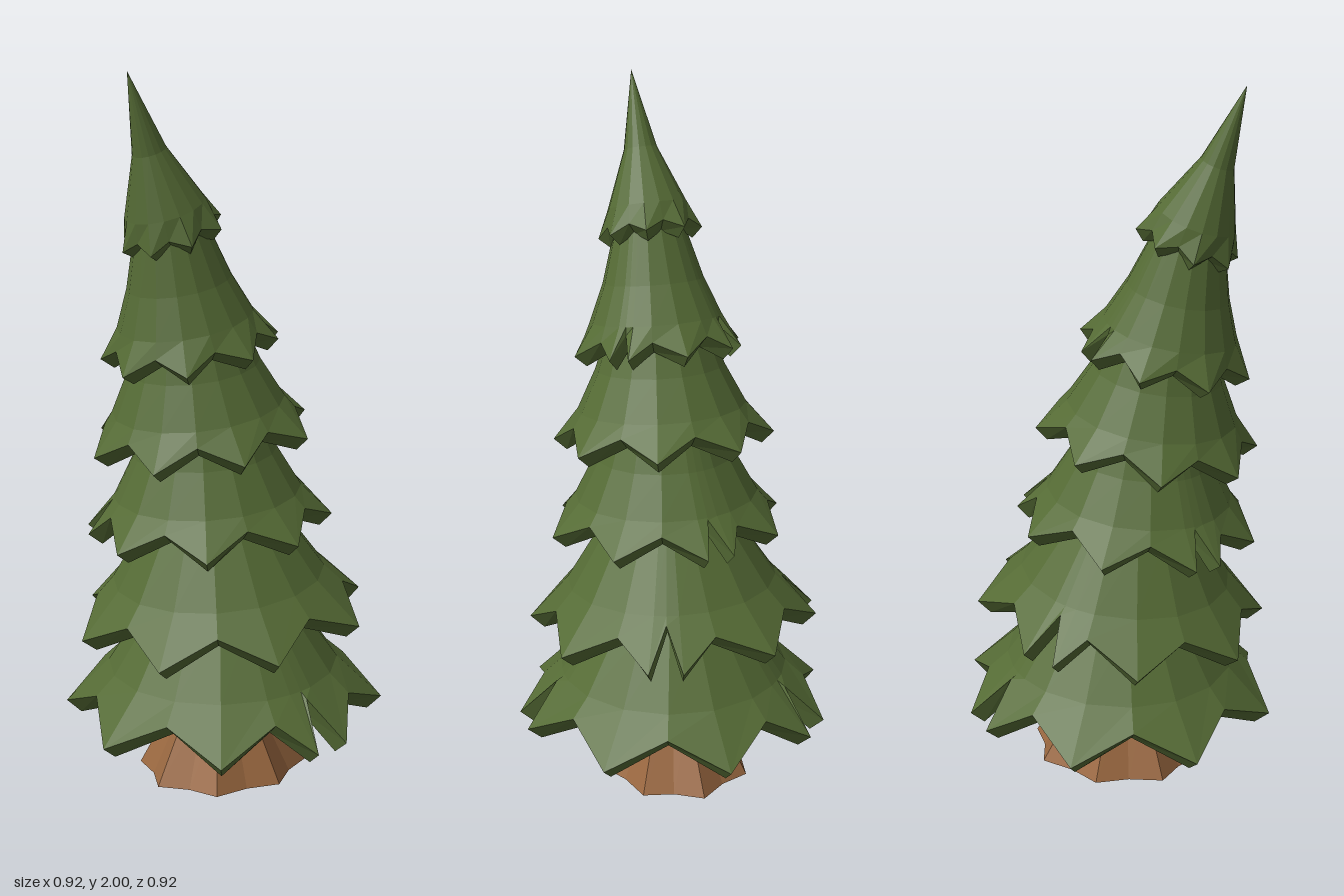
import * as THREE from 'three';

const GREEN = new THREE.MeshStandardMaterial({ color: 0x556b35, flatShading: true });
const BROWN = new THREE.MeshStandardMaterial({ color: 0x9a6840, flatShading: true });

// Skins a closed strip of faces over successive rings of points
function loft(rings, material, name) {
  const pos = [];
  for (let r = 0; r < rings.length - 1; r++) {
    const a = rings[r], b = rings[r + 1], n = a.length;
    for (let i = 0; i < n; i++) {
      const j = (i + 1) % n;
      pos.push(...a[i], ...b[i], ...a[j], ...a[j], ...b[i], ...b[j]);
    }
  }
  const geo = new THREE.BufferGeometry();
  geo.setAttribute('position', new THREE.Float32BufferAttribute(pos, 3));
  geo.computeVertexNormals();
  const mesh = new THREE.Mesh(geo, material);
  mesh.name = name;
  return mesh;
}

const polar = (angle, r, y, cx = 0) => [cx + r * Math.cos(angle), y, r * Math.sin(angle)];

// Hem outline: eight pointed tips with valleys between.
// Slits maps a tip's index to the sideways shift of the cut that splits it in two.
function hemSamples(turn, slits) {
  const out = [];
  const step = Math.PI / 4, cut = 0.115;
  for (let i = 0; i < 8; i++) {
    const a = turn + i * step;
    if (i in slits) {
      const c = a + slits[i];
      out.push({ a: c - cut, f: 1, lift: 0 });
      out.push({ a: c, f: 0.77, lift: 0.25 });
      out.push({ a: c + cut, f: 1, lift: 0 });
    } else {
      out.push({ a, f: 1, lift: 0 });
    }
    out.push({ a: a + step / 2, f: 0.84, lift: 0.17 });
  }
  return out;
}

// One hollow skirt of branches with a thick zigzag hem
function branchTier({ x, y, R, H, tilt, half, slits, profile }, index) {
  const samples = hemSamples(half ? Math.PI / 8 : 0, slits);
  const t = 0.025 + R * 0.035;
  const hem = (inset, drop) =>
    samples.map((s) => polar(s.a, s.f * R - inset, s.lift * R - drop));
  const ring = ([r, h], inset, drop) =>
    samples.map((s) => polar(s.a, Math.max(0, r * R - inset), h * H - drop));
  const inner = profile.map((p) => ring(p, t * 0.7, t)).reverse();
  const outer = profile.map((p) => ring(p, 0, 0));
  const mesh = loft([...inner, hem(t, t * 0.9), hem(0, 0), ...outer], GREEN, 'branchTier' + (index + 1));
  mesh.position.set(x, y, 0);
  mesh.rotation.z = tilt;
  return mesh;
}

export function createModel() {
  const tree = new THREE.Group();
  tree.name = 'tree';

  // Trunk: flared, ridged base tapering along the lean, slightly flattened in depth
  const trunkRings = [
    [0, 0, 0], [0.26, 0, 0], [0.135, 0.21, -0.01], [0.115, 0.6, -0.02],
    [0.08, 1.0, -0.08], [0.05, 1.32, -0.13], [0, 1.34, -0.13],
  ].map(([r, y, cx], k) =>
    Array.from({ length: 16 }, (_, i) => {
      const ridge = i % 2 && k < 3 ? 0.87 : 1;
      return polar((i / 16) * Math.PI * 2, r * ridge, y, cx);
    }));
  const trunk = loft(trunkRings, BROWN, 'trunk');
  trunk.scale.z = 0.88;
  tree.add(trunk);

  // Branch tiers, bottom to top, leaning further with height
  const cone = [[0.72, 0.25], [0.45, 0.6], [0.2, 1]];
  const full = [[0.76, 0.2], [0.58, 0.45], [0.3, 1]];
  const spire = [[0.76, 0.17], [0.32, 0.52], [0, 1]];
  const tiers = [
    { x: 0, y: 0.195, R: 0.46, H: 0.52, tilt: 0.03, half: false, slits: { 2: 0.06, 7: 0 }, profile: cone },
    { x: -0.01, y: 0.47, R: 0.42, H: 0.5, tilt: 0.09, half: true, slits: { 0: 0, 6: -0.1 }, profile: cone },
    { x: -0.055, y: 0.755, R: 0.345, H: 0.46, tilt: 0.08, half: false, slits: { 0: -0.1, 5: -0.1 }, profile: full },
    { x: -0.085, y: 1.01, R: 0.315, H: 0.45, tilt: 0.14, half: true, slits: {}, profile: full },
    { x: -0.13, y: 1.26, R: 0.245, H: 0.42, tilt: 0.2, half: false, slits: { 1: 0, 7: 0 }, profile: full },
    { x: -0.19, y: 1.575, R: 0.145, H: 0.45, tilt: 0.34, half: true, slits: {}, profile: spire },
  ];
  tiers.forEach((tier, i) => tree.add(branchTier(tier, i)));

  return tree;
}
